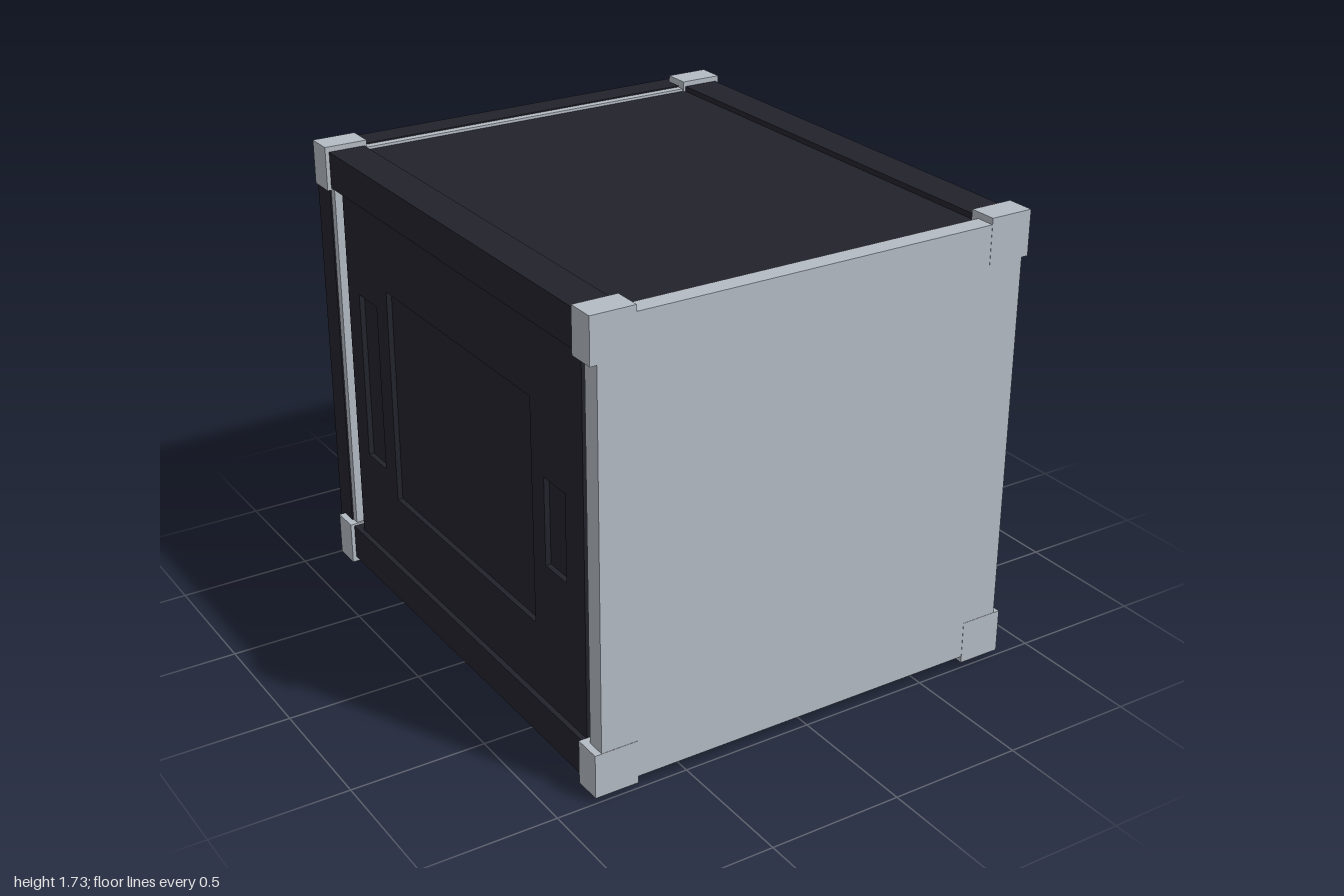
import * as THREE from 'three';

export function createModel() {
  const root = new THREE.Group();
  const silver = new THREE.MeshStandardMaterial({ color: 0xb4bbc3 });
  silver.name = 'silver metal';
  const dark = new THREE.MeshStandardMaterial({ color: 0x22222c });
  dark.name = 'dark shell';

  // box given by its min and max on each axis
  function box(name, mat, x0, x1, y0, y1, z0, z1) {
    const m = new THREE.Mesh(new THREE.BoxGeometry(x1 - x0, y1 - y0, z1 - z0), mat);
    m.position.set((x0 + x1) / 2, (y0 + y1) / 2, (z0 + z1) / 2);
    m.name = name;
    root.add(m);
    return m;
  }

  // flat plate [u0, u1, v0, v1] with rectangular openings, extruded along z
  function rect(path, [u0, u1, v0, v1]) {
    path.moveTo(u0, v0).lineTo(u1, v0).lineTo(u1, v1).lineTo(u0, v1).closePath();
    return path;
  }
  function pierced(name, outer, holes, depth) {
    const shape = rect(new THREE.Shape(), outer);
    holes.forEach(h => shape.holes.push(rect(new THREE.Path(), h)));
    const m = new THREE.Mesh(
      new THREE.ExtrudeGeometry(shape, { depth, bevelEnabled: false }), dark);
    m.name = name;
    root.add(m);
    return m;
  }

  // core body and recessed roof
  box('body', dark, -0.8, 0.8, 0.075, 1.68, -0.81, 0.89);
  box('roofPanel', dark, -0.71, 0.71, 1.66, 1.695, -0.865, 0.925);

  // side panels with recessed fields, shape u runs along -z
  for (const s of [-1, 1]) {
    const side = s > 0 ? 'left' : 'right';
    const panel = pierced(side + 'SidePanel', [-0.89, 0.81, 0.17, 1.59], [
      [-0.56, 0.48, 0.46, 1.295],
      [-0.775, -0.64, 0.715, 1.04],
      [0.57, 0.715, 0.55, 1.205],
    ], 0.02);
    panel.rotation.y = Math.PI / 2;
    panel.position.x = s > 0 ? 0.8 : -0.82;

    // long edge rails
    const [x0, x1] = s > 0 ? [0.7, 0.84] : [-0.84, -0.7];
    box(side + 'LowerRail', dark, x0, x1, 0.045, 0.182, -0.865, 0.925);
    box(side + 'UpperRail', dark, x0, x1, 1.578, 1.715, -0.865, 0.925);

    // corner blocks
    const [c0, c1] = s > 0 ? [0.69, 0.855] : [-0.855, -0.69];
    for (const [y0, y1, level] of [[0.025, 0.19, 'Lower'], [1.57, 1.735, 'Upper']]) {
      box(side + level + 'FrontCorner', silver, c0, c1, y0, y1, 0.895, 1);
      box(side + level + 'BackCorner', silver, c0, c1, y0, y1, -0.962, -0.857);
    }
  }

  // front face plate and the stepped pad behind it
  box('frontPlate', silver, -0.83, 0.83, 0.05, 1.712, 0.927, 0.999);
  box('frontPad', silver, -0.7, 0.7, 0.25, 1.51, 0.885, 0.91);

  // back plate and dark back cover
  box('backPlate', silver, -0.825, 0.825, 0.055, 1.705, -0.895, -0.865);
  box('backCover', dark, -0.83, 0.83, 0.05, 1.71, -1, -0.895);

  // underside with a recessed field
  const floor = pierced('floorPanel', [-0.71, 0.71, -0.925, 0.865],
    [[-0.67, 0.67, -0.77, 0.58]], 0.03);
  floor.rotation.x = -Math.PI / 2;
  floor.position.y = 0.05;

  // underside fittings
  box('floorBar', silver, 0.625, 0.665, 0.004, 0.08, -0.245, 0.33);
  box('hatch', dark, 0.19, 0.68, 0.02, 0.06, -0.865, -0.585);
  box('hatchStep', dark, 0.22, 0.65, 0.01, 0.025, -0.835, -0.615);
  box('floorSocket', silver, 0.09, 0.14, 0.045, 0.054, -0.84, -0.79);

  return root;
}
